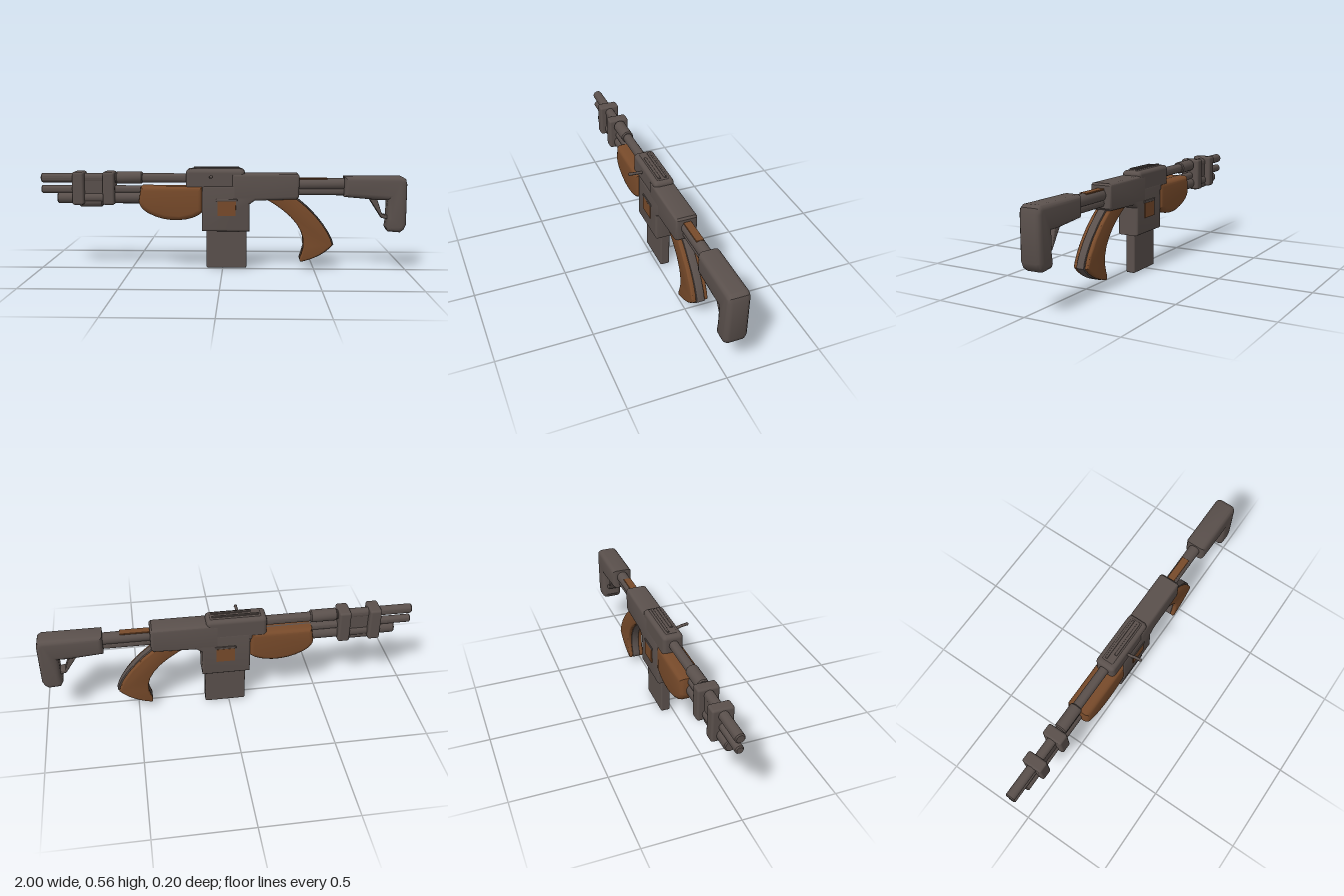
import * as THREE from 'three';
import { RoundedBoxGeometry } from 'three/addons/geometries/RoundedBoxGeometry.js';
import { toCreasedNormals } from 'three/addons/utils/BufferGeometryUtils.js';

const ZC = -0.036; // centre plane of the body

export function createModel() {
  const root = new THREE.Group();
  const metal = new THREE.MeshStandardMaterial({ color: 0x5a504c });
  metal.name = 'dark metal';
  const wood = new THREE.MeshStandardMaterial({ color: 0x774a2a });
  wood.name = 'brown wood';

  const add = (name, geo, mat, x = 0, y = 0, z = 0) => {
    const m = new THREE.Mesh(geo, mat);
    m.name = name;
    m.position.set(x, y, z);
    root.add(m);
    return m;
  };
  // rounded box given by its limits
  const box = (name, mat, x0, x1, y0, y1, z0, z1, r = 0.012) =>
    add(name, new RoundedBoxGeometry(x1 - x0, y1 - y0, z1 - z0, 2, r), mat,
      (x0 + x1) / 2, (y0 + y1) / 2, (z0 + z1) / 2);
  // side outline extruded across z, with rounded rims
  const slab = (name, mat, shape, z0, z1, bevel, holes = []) => {
    shape.holes.push(...holes);
    const g = new THREE.ExtrudeGeometry(shape, {
      depth: z1 - z0 - 2 * bevel, bevelEnabled: bevel > 0, bevelSize: bevel,
      bevelThickness: bevel, bevelOffset: -bevel, bevelSegments: 3, curveSegments: 8,
    });
    return add(name, toCreasedNormals(g, 0.6), mat, 0, 0, z0 + bevel);
  };
  const outline = (pts) => new THREE.Shape(pts.map((p) => new THREE.Vector2(...p)));
  // tube lying along x
  const tube = (name, x0, x1, y, r, z = ZC, mat = metal) => {
    const b = Math.min(0.006, r / 3), h = (x1 - x0) / 2;
    const g = new THREE.LatheGeometry(
      [[0, -h], [r - b, -h], [r, b - h], [r, h - b], [r - b, h], [0, h]]
        .map((p) => new THREE.Vector2(...p)), 16);
    g.rotateZ(-Math.PI / 2);
    return add(name, toCreasedNormals(g, 0.6), mat, (x0 + x1) / 2, y, z);
  };

  // barrels and clamps
  tube('upperBarrel', -1, -0.15, 0.497, 0.026);
  tube('barrelSleeve', -0.585, -0.44, 0.499, 0.034);
  tube('lowerBarrel', -1, -0.1, 0.434, 0.022);
  tube('gasTube', -0.91, -0.42, 0.388, 0.032);
  tube('underTube', -0.79, -0.66, 0.365, 0.027);
  for (const x of [-0.79, -0.623])
    box('barrelClamp', metal, x - 0.032, x + 0.032, 0.352, 0.532, -0.093, 0.02, 0.012);
  box('clampBridge', metal, -0.77, -0.64, 0.37, 0.5, -0.058, -0.014, 0.01);

  // forearm
  const fore = new THREE.Shape();
  fore.moveTo(-0.445, 0.455);
  fore.lineTo(-0.11, 0.455);
  fore.lineTo(-0.11, 0.315);
  fore.bezierCurveTo(-0.16, 0.265, -0.3, 0.25, -0.4, 0.305);
  fore.quadraticCurveTo(-0.45, 0.33, -0.457, 0.37);
  slab('forearm', wood, fore, -0.1, 0.034, 0.024);

  // receiver
  box('frontReceiver', metal, -0.2, 0.12, 0.41, 0.55, -0.093, 0.019, 0.022);
  slab('rearReceiver', metal, outline([[0.05, 0.525], [0.405, 0.525], [0.415, 0.515],
    [0.415, 0.4], [0.4, 0.387], [0.05, 0.375]]), -0.094, 0.024, 0.016);
  slab('magazineWell', metal, outline([[-0.112, 0.46], [0.19, 0.46], [0.19, 0.39],
    [0.147, 0.36], [0.147, 0.21], [-0.112, 0.21]]), -0.094, 0.024, 0.012);
  box('magazine', metal, -0.09, 0.131, 0, 0.25, -0.066, -0.014, 0.008);

  // wooden side inserts with metal frames
  for (const s of [1, -1]) {
    const z = ZC + s * 0.06 + 0.001 * s;
    add('sideInsert', new THREE.BoxGeometry(0.1, 0.08, 0.006), wood, 0.022, 0.336, z);
    box('insertUpperFrame', metal, -0.035, 0.08, 0.376, 0.39, z - 0.004, z + 0.004, 0.003);
  }

  // top cover and rail
  box('topCover', metal, -0.17, 0.1, 0.535, 0.553, -0.07, -0.003, 0.007);
  box('topRail', metal, -0.16, 0.09, 0.545, 0.56, -0.058, -0.045, 0.004);
  box('topRail', metal, -0.12, 0.09, 0.545, 0.56, -0.027, -0.012, 0.004);

  // charging handle
  const lever = new THREE.CatmullRomCurve3([[-0.065, 0.505, -0.005], [-0.065, 0.508, 0.03],
    [-0.06, 0.513, 0.06], [-0.058, 0.516, 0.092]].map((p) => new THREE.Vector3(...p)));
  add('chargingHandle', new THREE.TubeGeometry(lever, 10, 0.008, 8), metal);
  add('handleKnob', new THREE.SphereGeometry(0.009, 10, 8), metal, -0.058, 0.516, 0.091);

  // curved grip: wood panels around a metal core
  const gripShape = (o) => {
    const s = new THREE.Shape();
    s.moveTo(0.22, 0.41);
    s.lineTo(0.38, 0.405 + o);
    s.bezierCurveTo(0.48, 0.34 + o, 0.585 + o, 0.22, 0.605 + o, 0.135);
    s.quadraticCurveTo(0.54, 0.06 - o, 0.43, 0.04);
    s.quadraticCurveTo(0.415, 0.05, 0.43, 0.08);
    s.bezierCurveTo(0.48, 0.2, 0.38, 0.31, 0.22, 0.395);
    return s;
  };
  slab('gripCore', metal, gripShape(0.004), -0.058, -0.016, 0.002);
  slab('gripPanelLeft', wood, gripShape(-0.004), -0.018, 0.007, 0.009);
  slab('gripPanelRight', wood, gripShape(-0.004), -0.08, -0.056, 0.009);

  // stock tube
  tube('stockTube', 0.4, 0.7, 0.467, 0.032);
  tube('stockRod', 0.4, 0.7, 0.427, 0.022);
  box('stockTubeInlay', wood, 0.41, 0.57, 0.492, 0.5, -0.057, -0.015, 0.003);

  // shoulder stock with rear pad and a small opening behind the strut
  slab('stockBody', metal, outline([[0.66, 0.51], [0.97, 0.51], [0.99, 0.497], [0.997, 0.47],
    [0.997, 0.25], [0.985, 0.222], [0.965, 0.207], [0.9, 0.212], [0.888, 0.235],
    [0.895, 0.285], [0.895, 0.385], [0.84, 0.385], [0.66, 0.4]]), -0.094, 0.022, 0.024);
  slab('stockStrut', metal, outline([[0.79, 0.4], [0.835, 0.4], [0.868, 0.305], [0.905, 0.298],
    [0.905, 0.275], [0.865, 0.285]]), -0.065, -0.007, 0.005);

  return root;
}
